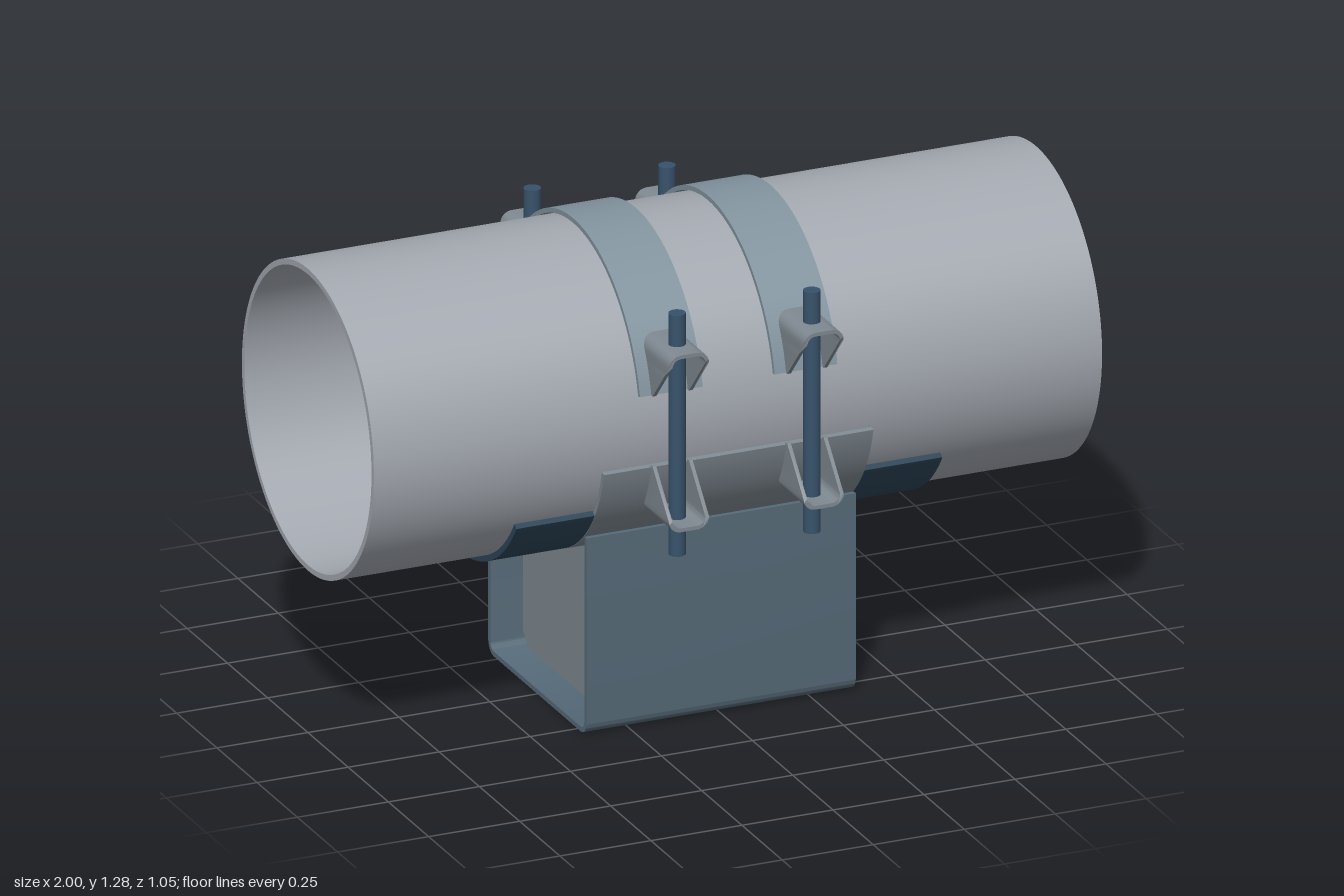
import * as THREE from 'three';
import { toCreasedNormals } from 'three/addons/utils/BufferGeometryUtils.js';

const CY = 0.85; // height of the pipe axis
const rad = THREE.MathUtils.degToRad;
const mat = (color) => new THREE.MeshStandardMaterial({ color, side: THREE.DoubleSide });

// Extrude a (z, y) section along x, centred on x
function alongX(shape, length, x = 0, segments = 16) {
  const g = new THREE.ExtrudeGeometry(shape, { depth: length, bevelEnabled: false, curveSegments: segments });
  g.translate(0, 0, -length / 2);
  g.rotateY(Math.PI / 2);
  g.translate(x, 0, 0);
  return toCreasedNormals(g, 0.5);
}

// Ring sector section around the pipe axis, angles in degrees
function sector(r0, r1, a0, a1) {
  const s = new THREE.Shape();
  s.absarc(0, CY, r1, rad(a0), rad(a1), false);
  s.absarc(0, CY, r0, rad(a1), rad(a0), true);
  s.closePath();
  return s;
}

// Bent U lug: an arched section whose depth follows the band inside and a slant outside
function lugGeometry() {
  const top = 0.24, low = 0.095, w = 0.055, t = 0.01, r = 0.032;
  const half = (inset) => {
    const pts = [], ww = w - inset, rr = r - inset, tt = top - inset;
    for (let i = 0; i <= 8; i++) pts.push([ww, low + (tt - rr - low) * i / 8]);
    for (let i = 1; i <= 6; i++) {
      const a = i / 6 * Math.PI / 2;
      pts.push([ww - rr + rr * Math.cos(a), tt - rr + rr * Math.sin(a)]);
    }
    return pts;
  };
  const arch = (inset) => {
    const h = half(inset);
    return [...h, ...h.map(([x, y]) => [-x, y]).reverse()];
  };
  const outline = [...arch(0), ...arch(t).reverse()].map(([x, y]) => new THREE.Vector2(x, y));
  const g = new THREE.ExtrudeGeometry(new THREE.Shape(outline), { depth: 1, bevelEnabled: false });
  const p = g.attributes.position;
  for (let i = 0; i < p.count; i++) {
    const y = p.getY(i);
    const inner = Math.sqrt(0.422 ** 2 - y * y);
    const outer = Math.min(0.525, 0.422 + (y - low) * 0.103 / 0.115);
    p.setZ(i, p.getZ(i) < 0.5 ? inner : Math.max(outer, inner + 0.004));
  }
  return toCreasedNormals(g, 0.5);
}

export function createModel() {
  const model = new THREE.Group();
  const pipeMat = mat(0xa3a8b0), bandMat = mat(0x82939e), lugMat = mat(0x7f8991);
  const channelMat = mat(0x566a78), padMat = mat(0x2c4557), rodMat = mat(0x38526a);
  const add = (name, geometry, material, parent = model) => {
    const m = new THREE.Mesh(geometry, material);
    m.name = name;
    parent.add(m);
    return m;
  };

  // Pipe with open bore
  const ring = new THREE.Shape().absarc(0, CY, 0.41, 0, Math.PI * 2, false);
  ring.holes.push(new THREE.Path().absarc(0, CY, 0.395, 0, Math.PI * 2, true));
  add('pipe', alongX(ring, 2, 0, 64), pipeMat);

  // Cradle under the pipe and the two wear pads protruding from its ends
  add('cradle', alongX(sector(0.413, 0.4265, 193.5, 346.5), 0.74, 0, 48), lugMat);
  add('padBack', alongX(sector(0.409, 0.4255, 213, 268), 1.17, 0, 24), padMat);
  add('padFront', alongX(sector(0.409, 0.4255, 272, 327), 1.17, 0, 24), padMat);

  // U channel base with rounded bottom corners
  const W = 0.305, T = 0.013, R = 0.035, H = 0.537;
  const u = new THREE.Shape();
  u.moveTo(-W, H);
  u.lineTo(-W, R);
  u.absarc(-W + R, R, R, Math.PI, Math.PI * 1.5, false);
  u.absarc(W - R, R, R, Math.PI * 1.5, Math.PI * 2, false);
  u.lineTo(W, H);
  u.lineTo(W - T, H);
  u.absarc(W - R, R, R - T, 0, -Math.PI / 2, true);
  u.absarc(-W + R, R, R - T, -Math.PI / 2, -Math.PI, true);
  u.lineTo(-W + T, H);
  u.closePath();
  add('channel', alongX(u, 0.74), channelMat);

  // Cross webs with clipped lower corners and a top curved to the pipe
  const hw = W - T, clip = 0.035, rw = 0.432;
  const a = Math.acos(hw / rw);
  const web = new THREE.Shape();
  web.moveTo(-hw, T + clip);
  web.lineTo(-hw + clip, T);
  web.lineTo(hw - clip, T);
  web.lineTo(hw, T + clip);
  web.absarc(0, CY, rw, -a, -Math.PI + a, true);
  web.closePath();
  for (const x of [-0.27, 0.27]) add('web', alongX(web, 0.02, x, 32), lugMat);

  // Two clamps: top band, four lugs and two threaded rods each
  const lug = lugGeometry();
  const rod = new THREE.CylinderGeometry(0.022, 0.022, 0.655, 24);
  for (const x of [-0.185, 0.185]) {
    const clamp = new THREE.Group();
    clamp.name = 'clamp';
    clamp.position.x = x;
    model.add(clamp);
    add('band', alongX(sector(0.413, 0.4255, 13, 167), 0.172, 0, 48), bandMat, clamp);
    for (const side of [1, -1]) {
      add('rod', rod, rodMat, clamp).position.set(0, 0.8475, 0.45 * side);
      for (const up of [true, false]) {
        const m = add(up ? 'upperLug' : 'lowerLug', lug, lugMat, clamp);
        m.position.y = CY;
        m.rotation.set(0, side > 0 ? 0 : Math.PI, up ? 0 : Math.PI);
      }
    }
  }
  return model;
}
